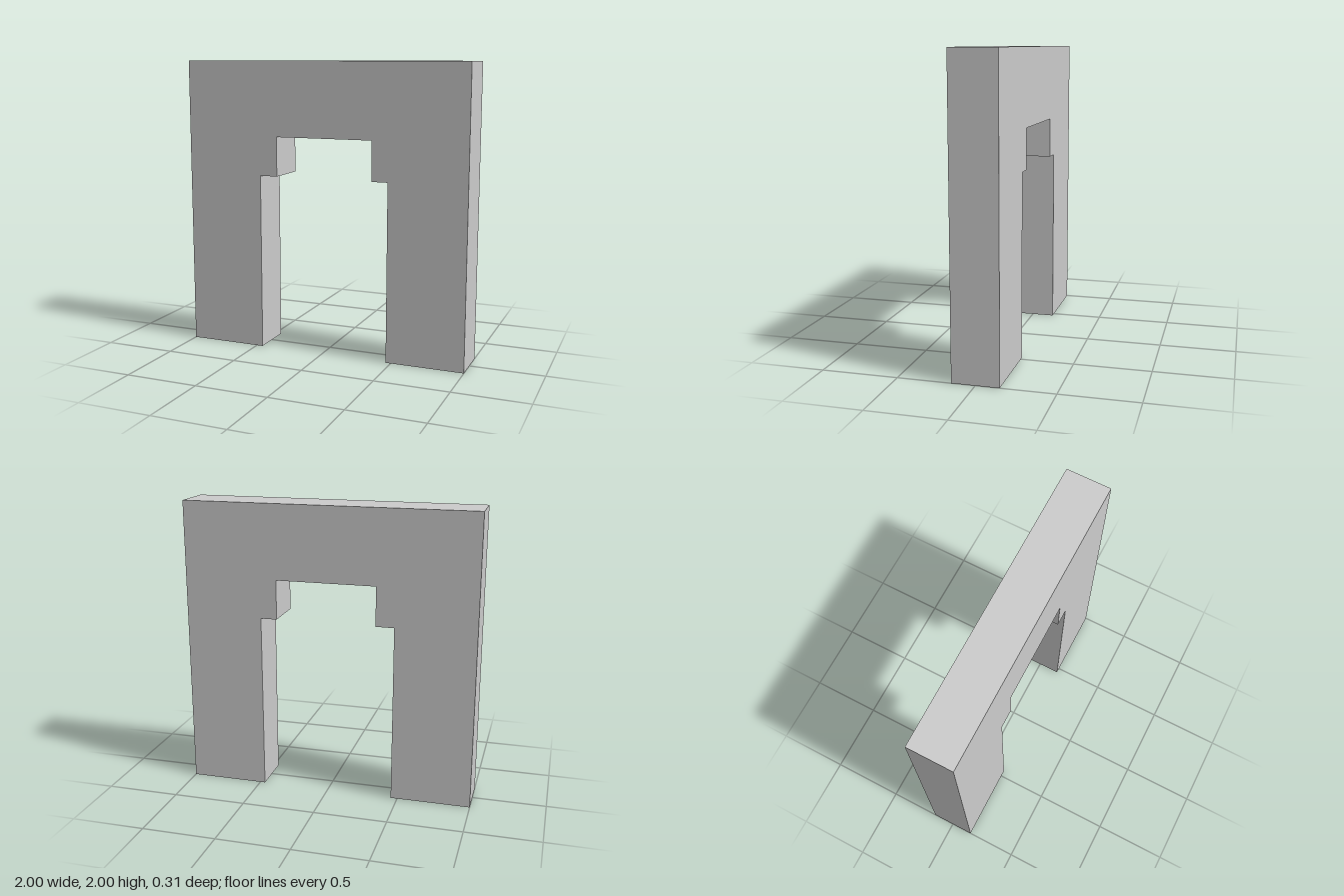
import * as THREE from 'three';

const DEPTH = 0.305;

// Outline of the wall with its stepped doorway, counter-clockwise from the front
const OUTLINE = [
  [-1, 0], [-0.455, 0], [-0.455, 1.22], [-0.33, 1.22], [-0.33, 1.49],
  [0.353, 1.49], [0.353, 1.22], [0.465, 1.22], [0.465, 0], [1, 0],
  [1, 2], [-1, 2],
];

export function createModel() {
  const group = new THREE.Group();
  group.name = 'archway';

  // Solid wall extruded through its thickness and centred on z
  const shape = new THREE.Shape(OUTLINE.map(([x, y]) => new THREE.Vector2(x, y)));
  const geometry = new THREE.ExtrudeGeometry(shape, { depth: DEPTH, bevelEnabled: false });
  geometry.translate(0, 0, -DEPTH / 2);

  const wall = new THREE.Mesh(
    geometry,
    new THREE.MeshStandardMaterial({ color: 0xcccccc, flatShading: true }),
  );
  wall.name = 'archWall';
  group.add(wall);
  return group;
}
